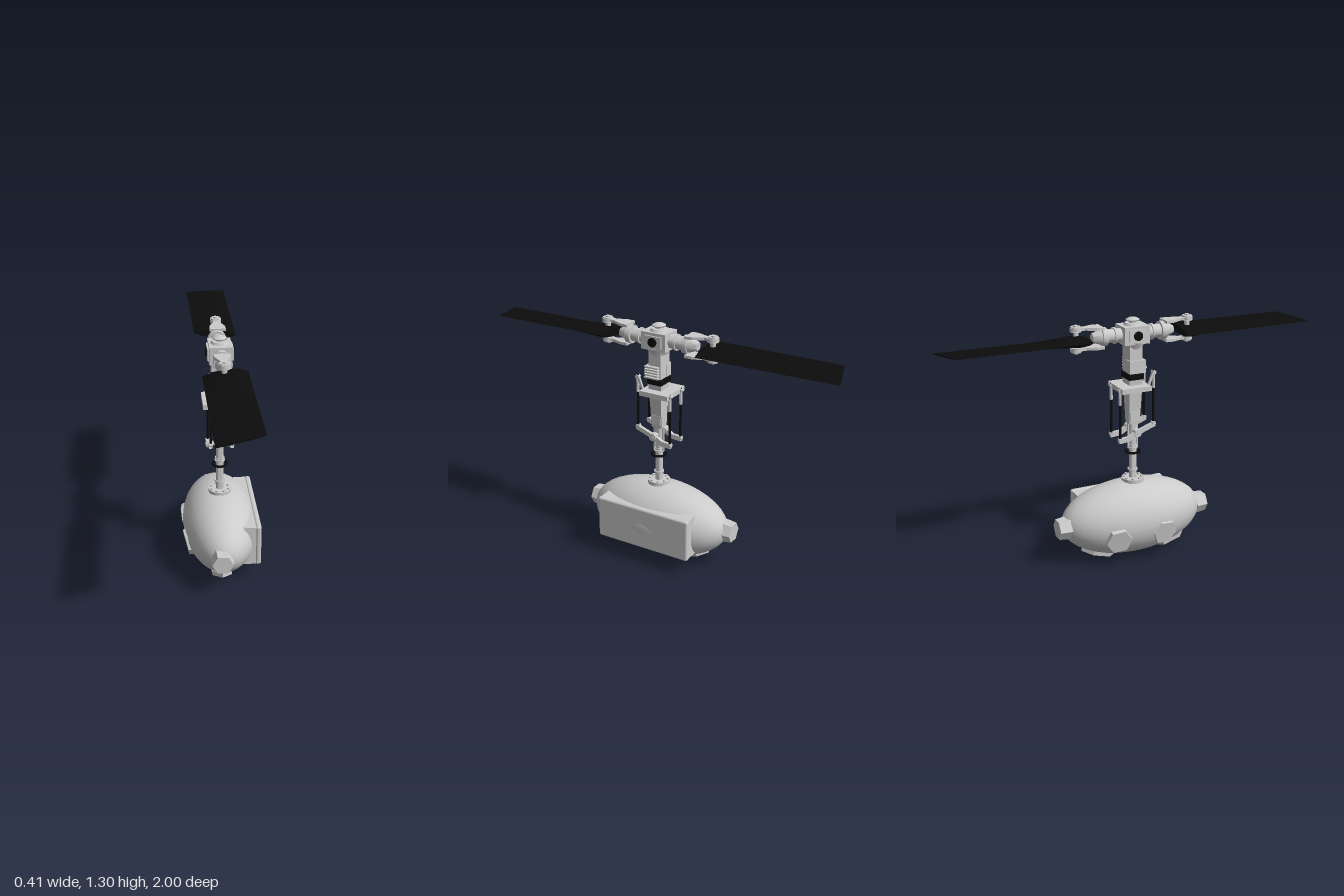
import * as THREE from 'three';
import { RoundedBoxGeometry } from 'three/addons/geometries/RoundedBoxGeometry.js';
import { toCreasedNormals } from 'three/addons/utils/BufferGeometryUtils.js';

const UP = new THREE.Vector3(0, 1, 0);

export function createModel() {
  const model = new THREE.Group();
  const grey = new THREE.MeshStandardMaterial({ color: 0xcccccc });
  const black = new THREE.MeshStandardMaterial({ color: 0x0c0c0c });

  function add(name, geo, pos = [0, 0, 0], mat = grey, parent = model) {
    const m = new THREE.Mesh(geo, mat);
    m.name = name;
    m.position.set(...pos);
    parent.add(m);
    return m;
  }
  const box = (name, size, pos, mat, parent) => add(name, new THREE.BoxGeometry(...size), pos, mat, parent);
  // cylinder running between two points
  function rod(name, a, b, r0, r1 = r0, sides = 16, mat = grey, parent = model) {
    const p = new THREE.Vector3(...a), q = new THREE.Vector3(...b);
    const geo = toCreasedNormals(new THREE.CylinderGeometry(r1, r0, p.distanceTo(q), sides), 0.9);
    const m = add(name, geo, [0, 0, 0], mat, parent);
    m.position.copy(p).add(q).multiplyScalar(0.5);
    m.quaternion.setFromUnitVectors(UP, q.sub(p).normalize());
    return m;
  }
  // square bar between two points lying in a plane of constant x
  function bar(name, x, [z0, y0], [z1, y1], w, t) {
    const m = box(name, [w, t, Math.hypot(z1 - z0, y1 - y0)], [x, (y0 + y1) / 2, (z0 + z1) / 2]);
    m.rotation.x = -Math.atan2(y1 - y0, z1 - z0);
    return m;
  }

  // egg-shaped body
  const egg = new THREE.SphereGeometry(1, 32, 20);
  egg.rotateX(Math.PI / 2);
  egg.scale(0.2, 0.203, 0.4);
  add('body', egg, [0, 0.22, -0.01]);

  // hexagonal caps on both ends, below and on the side
  function hexCap(name, pos, dir, r0, r1, h) {
    const d = new THREE.Vector3(...dir).normalize().multiplyScalar(h);
    const end = pos.map((v, i) => v + d.getComponent(i));
    return rod(name, pos, end, r0, r1, 6);
  }
  for (const s of [1, -1]) {
    const end = hexCap('endCap', [-0.02, 0.222, s * 0.37 - 0.01], [0, 0, s], 0.062, 0.055, 0.065);
    end.rotateY(Math.PI / 2);
    hexCap('bottomCap', [-0.01, 0.06, s * 0.205], [0, -1, s * 0.3], 0.105, 0.1, 0.026).scale.x = 0.6;
    hexCap('sideCap', [-0.16, 0.17, s * 0.13 - 0.03], [-1, -0.2, s * 0.12], 0.075, 0.07, 0.032);
  }

  // equipment box on the left flank
  box('sideBox', [0.08, 0.225, 0.54], [0.14, 0.222, -0.01]);
  add('sideBoxLid', new RoundedBoxGeometry(0.03, 0.235, 0.55, 3, 0.012), [0.182, 0.222, -0.01]);

  // mast foot and tube
  rod('mastFlange', [0, 0.415, 0], [0, 0.435, 0], 0.06, 0.06, 24);
  for (let i = 0; i < 8; i++) {
    const a = (i + 0.5) * Math.PI / 4, x = Math.cos(a) * 0.048, z = Math.sin(a) * 0.048;
    rod('flangeBolt', [x, 0.43, z], [x, 0.443, z], 0.008, 0.008, 6);
  }
  rod('mastTube', [0, 0.42, 0], [0, 0.85, 0], 0.02);
  for (const [y, r, h] of [[0.48, 0.027, 0.01], [0.604, 0.027, 0.01], [0.618, 0.025, 0.008]])
    rod('mastRing', [0, y - h / 2, 0], [0, y + h / 2, 0], r);
  const seal = add('sealRing', new THREE.TorusGeometry(0.037, 0.007, 8, 28), [0, 0.582, 0], black);
  seal.rotation.x = Math.PI / 2;
  for (const s of [1, -1]) box('mastStrut', [0.012, 0.17, 0.008], [0, 0.685, s * 0.026]);

  // tapered square sleeve
  const sleeve = new THREE.BoxGeometry(1, 0.25, 1);
  const sp = sleeve.attributes.position;
  for (let i = 0; i < sp.count; i++) {
    const top = sp.getY(i) > 0;
    sp.setX(i, sp.getX(i) * (top ? 0.088 : 0.05));
    sp.setZ(i, sp.getZ(i) * (top ? 0.075 : 0.058));
  }
  sleeve.computeVertexNormals();
  add('sleeve', sleeve, [0, 0.865, 0]);
  box('sleeveFoot', [0.066, 0.055, 0.056], [0, 0.785, 0]);
  rod('sleeveNeck', [0, 0.7, 0], [0, 0.77, 0], 0.024);
  box('controlPlate', [0.18, 0.026, 0.165], [0, 0.943, -0.017]);

  // black collar and the drive housing above it
  add('collar', new RoundedBoxGeometry(0.1, 0.034, 0.088, 2, 0.008), [0, 1, 0], black);
  box('column', [0.088, 0.17, 0.07], [0, 1.1, 0]);
  box('actuatorBox', [0.045, 0.068, 0.09], [-0.031, 1.053, 0.005]);
  for (let i = 0; i < 5; i++) box('coolingFin', [0.065, 0.008, 0.08], [0.032, 1.025 + i * 0.014, 0.01]);
  rod('columnHead', [0, 1.145, 0], [0, 1.18, 0], 0.05, 0.065, 8);

  // linkage: upright rods, slanted lower levers and upper horns
  rod('leverShaft', [-0.075, 0.702, 0], [0.075, 0.702, 0], 0.01);
  for (const s of [1, -1]) {
    const x = s * 0.055;
    rod('leverBearing', [x - 0.016, 0.702, 0], [x + 0.016, 0.702, 0], 0.02);
    bar('leverFront', x, [0.1, 0.738], [0, 0.702], 0.018, 0.024);
    bar('leverMiddle', x, [0.01, 0.708], [-0.055, 0.672], 0.018, 0.026);
    bar('leverRear', x, [-0.045, 0.675], [-0.105, 0.67], 0.018, 0.026);
    bar('upperHorn', x, [0.092, 1.025], [0.06, 0.94], 0.012, 0.012);
    for (const [z, lo, hi] of [[0.093, 0.735, 1.03], [-0.097, 0.665, 0.955]]) {
      rod('controlRod', [x, lo, z], [x, hi, z], 0.0065, 0.0065, 10, black);
      for (const y of [lo + 0.008, hi - 0.012])
        rod('rodEnd', [x - 0.012, y, z], [x + 0.012, y, z], 0.011, 0.011, 12);
      rod('rodSleeve', [x, lo + 0.2, z], [x, hi - 0.02, z], 0.0085, 0.0085, 10);
    }
  }

  // rotor hub
  const hub = new THREE.Group();
  hub.name = 'hub';
  hub.position.y = 1.218;
  model.add(hub);
  box('hubBlock', [0.115, 0.092, 0.14], [0, 0, 0], grey, hub);
  for (const s of [1, -1]) {
    box('hubFace', [0.012, 0.062, 0.095], [s * 0.06, 0, 0], grey, hub);
    rod('hubBore', [s * 0.06, 0, 0], [s * 0.072, 0, 0], 0.024, 0.024, 20, black, hub);
  }
  rod('hubCover', [0, 0.04, 0], [0, 0.058, 0], 0.052, 0.042, 8, grey, hub);
  rod('capStem', [0, 0.05, 0], [0, 0.072, 0], 0.02, 0.02, 12, grey, hub);
  const dome = new THREE.LatheGeometry(
    [[0, 0], [0.036, 0], [0.034, 0.006], [0.02, 0.013], [0, 0.017]].map(p => new THREE.Vector2(...p)), 16);
  add('cap', dome, [0, 0.069, 0], grey, hub);

  // fork plate outline, flared at the grip and round at the bolt
  const fork = new THREE.Shape();
  fork.moveTo(-0.042, 0.17);
  fork.lineTo(0.042, 0.17);
  fork.lineTo(0.04, 0.21);
  fork.lineTo(0.016, 0.265);
  fork.lineTo(0.018, 0.285);
  fork.absarc(0, 0.308, 0.03, -0.9, Math.PI + 0.9, false);
  fork.lineTo(-0.016, 0.265);
  fork.lineTo(-0.04, 0.21);
  const forkGeo = new THREE.ExtrudeGeometry(fork, { depth: 0.014, bevelEnabled: false, curveSegments: 12 });
  forkGeo.rotateX(Math.PI / 2);

  // blade lofted from pointed sections: thick root, thin skewed tip
  function bladeGeometry() {
    const stations = [[0, 0.02], [0.06, 0.028], [0.15, 0.022], [0.32, 0.012], [0.7, 0.009], [1, 0.004]];
    const section = [[-0.108, 0], [-0.06, 0.8], [0.01, 1], [0.07, 0.8], [0.112, 0], [0.07, -0.8], [0.01, -1], [-0.06, -0.8]];
    const n = section.length, pos = [], idx = [];
    for (const [t, thick] of stations) for (const [x, k] of section) {
      const tip = 0.968 - x * 0.295;
      pos.push(x, k * thick + x * 0.1 * (1 - 0.3 * t), 0.262 + t * (tip - 0.262));
    }
    for (let s = 0; s < stations.length - 1; s++) for (let i = 0; i < n; i++) {
      const a = s * n + i, b = s * n + (i + 1) % n;
      idx.push(a, a + n, b, b, a + n, b + n);
    }
    const last = (stations.length - 1) * n;
    for (let i = 1; i < n - 1; i++) idx.push(0, i, i + 1, last, last + i + 1, last + i);
    const g = new THREE.BufferGeometry();
    g.setAttribute('position', new THREE.Float32BufferAttribute(pos, 3));
    g.setIndex(idx);
    return toCreasedNormals(g, 0.5);
  }
  const bladeGeo = bladeGeometry();
  const bladeMat = new THREE.MeshStandardMaterial({ color: 0x0c0c0c, side: THREE.DoubleSide });

  // two opposite arms, each with grip, fork, bolts and blade
  for (let k = 0; k < 2; k++) {
    const arm = new THREE.Group();
    arm.name = 'rotorArm';
    arm.rotation.y = k * Math.PI;
    hub.add(arm);
    for (const [z0, z1, r] of [[0.06, 0.17, 0.035], [0.098, 0.11, 0.042], [0.15, 0.178, 0.048]])
      rod('grip', [0, 0, z0], [0, 0, z1], r, r, 20, grey, arm);
    rod('gripCone', [0, 0, 0.178], [0, 0, 0.225], 0.04, 0.022, 16, grey, arm);
    for (const s of [1, -1]) {
      const plate = add('forkPlate', forkGeo, [-0.005, s * 0.043 + 0.007, 0], grey, arm);
      plate.rotation.x = -s * 0.03;
      rod('forkBolt', [-0.005, s * 0.04, 0.308], [-0.005, s * 0.066, 0.308], 0.03, 0.026, 16, grey, arm);
      rod('boltHead', [-0.005, s * 0.06, 0.308], [-0.005, s * 0.072, 0.308], 0.014, 0.014, 6, grey, arm);
    }
    rod('bladePin', [-0.005, -0.05, 0.308], [-0.005, 0.05, 0.308], 0.014, 0.014, 12, grey, arm);
    add('blade', bladeGeo, [0, -0.008, 0], bladeMat, arm);
  }
  return model;
}
